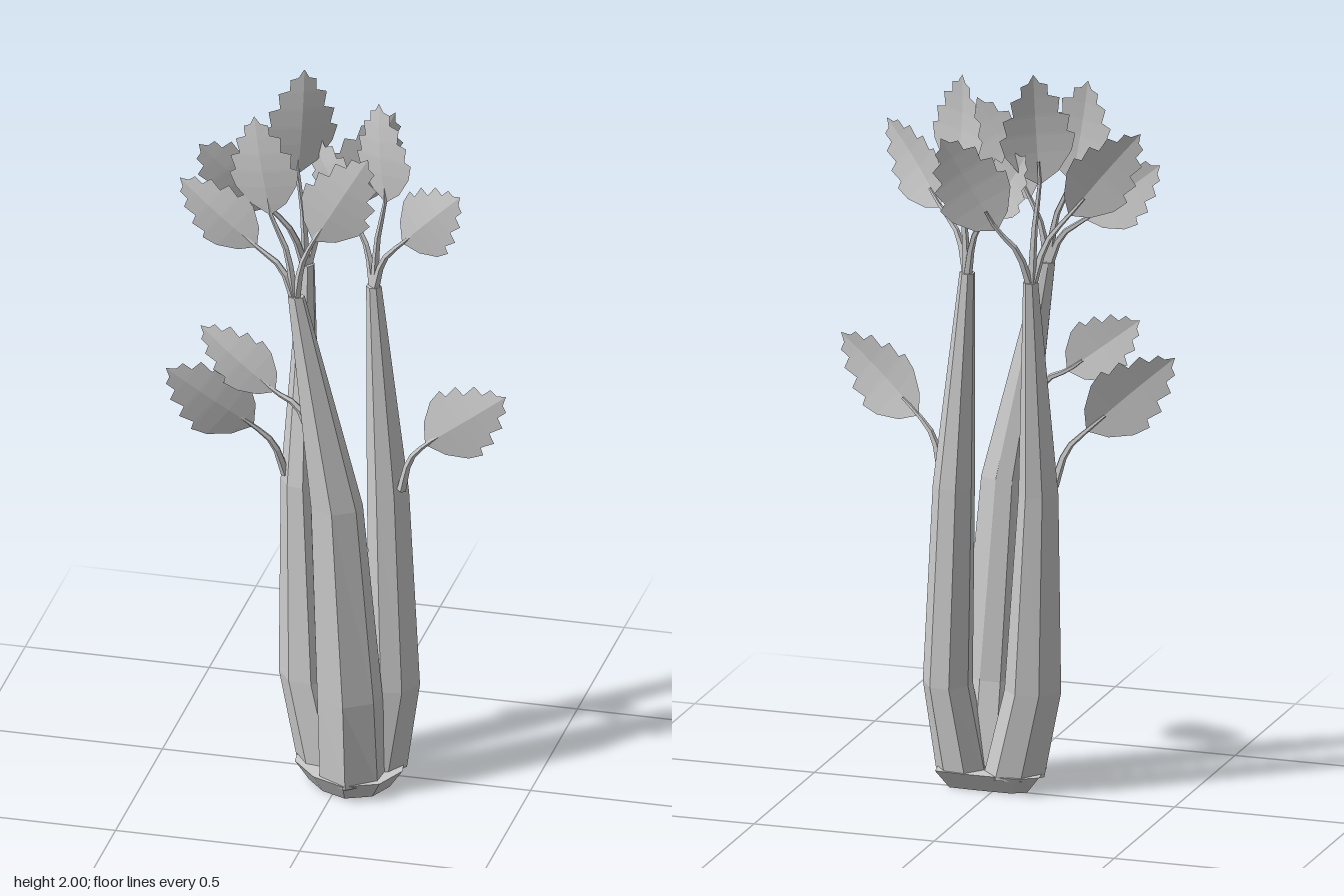
import * as THREE from 'three';

const material = new THREE.MeshStandardMaterial({ color: 0xcccccc, flatShading: true });
const leafMaterial = new THREE.MeshStandardMaterial({ color: 0xcccccc, flatShading: true, side: THREE.DoubleSide });

function meshFrom(name, positions, mat = material) {
  const geometry = new THREE.BufferGeometry();
  geometry.setAttribute('position', new THREE.Float32BufferAttribute(positions, 3));
  geometry.computeVertexNormals();
  const mesh = new THREE.Mesh(geometry, mat);
  mesh.name = name;
  return mesh;
}

// Closed loft through rings of Vector3, capped at both ends
function loft(name, rings) {
  const out = [];
  const tri = (...points) => points.forEach((p) => out.push(p.x, p.y, p.z));
  const n = rings[0].length;
  const centre = (ring) => ring.reduce((sum, p) => sum.add(p), new THREE.Vector3()).divideScalar(n);
  const last = rings[rings.length - 1];
  const low = centre(rings[0]), high = centre(last);
  for (let i = 0; i < n; i++) {
    const k = (i + 1) % n;
    for (let j = 0; j < rings.length - 1; j++) {
      const a = rings[j], b = rings[j + 1];
      tri(a[i], b[i], b[k]);
      tri(a[i], b[k], a[k]);
    }
    tri(low, rings[0][i], rings[0][k]);
    tri(high, last[k], last[i]);
  }
  return meshFrom(name, out);
}

// Stalk section: [outward, sideways] as fractions of depth and width
const SECTION = [[0.5, 0], [0.22, 0.43], [-0.2, 0.5], [-0.5, 0.16], [-0.5, -0.16], [-0.2, -0.5], [0.22, -0.43]];

// Levels: [y, centre x, centre z, depth, width]
function stalk(name, angle, levels) {
  const c = Math.cos(angle), s = Math.sin(angle);
  return loft(name, levels.map(([y, cx, cz, depth, width]) => SECTION.map(([u, t]) =>
    new THREE.Vector3(cx + u * depth * c - t * width * s, y, cz + u * depth * s + t * width * c))));
}

// Half outline of a toothed leaf: [along, half width] relative to its length
const LEAF = [[0, 0.02], [0.1, 0.17], [0.28, 0.3], [0.43, 0.34], [0.46, 0.27], [0.6, 0.3], [0.63, 0.2],
  [0.77, 0.22], [0.8, 0.12], [0.9, 0.12], [0.92, 0.05], [1, 0]];

function blade(base, tip, across) {
  const axis = tip.clone().sub(base);
  const length = axis.length();
  const normal = across.clone().cross(new THREE.Vector3(0, 1, 0)).normalize();
  const side = normal.clone().cross(axis).normalize();
  const out = [];
  const point = ([s, w], sign) => base.clone().addScaledVector(axis, s)
    .addScaledVector(side, sign * w * length)
    .addScaledVector(normal, (Math.sin(s * Math.PI) * 0.03 - Math.abs(sign) * w * 0.14) * length);
  for (const sign of [-1, 1]) {
    for (let i = 0; i < LEAF.length - 1; i++) {
      const m0 = point(LEAF[i], 0), m1 = point(LEAF[i + 1], 0);
      const e0 = point(LEAF[i], sign), e1 = point(LEAF[i + 1], sign);
      for (const p of sign > 0 ? [m0, m1, e1, m0, e1, e0] : [m0, e1, m1, m0, e0, e1]) out.push(p.x, p.y, p.z);
    }
  }
  return meshFrom('leafBlade', out, leafMaterial);
}

// Thin stem that narrows towards the leaf
function stem(start, base, tip) {
  const end = base.clone().lerp(tip, 0.2);
  const bend = start.clone().lerp(base, 0.55);
  bend.x += (start.x - base.x) * 0.18;
  bend.y += 0.015;
  const curve = new THREE.CatmullRomCurve3([start, bend, base, end]);
  const geometry = new THREE.TubeGeometry(curve, 6, 0.013, 5).toNonIndexed();
  const p = geometry.attributes.position, uv = geometry.attributes.uv;
  const v = new THREE.Vector3();
  for (let i = 0; i < p.count; i++) {
    const t = uv.getX(i);
    v.fromBufferAttribute(p, i).lerp(curve.getPointAt(t), t * 0.7);
    p.setXYZ(i, v.x, v.y, v.z);
  }
  geometry.computeVertexNormals();
  const mesh = new THREE.Mesh(geometry, material);
  mesh.name = 'leafStem';
  return mesh;
}

// Sprays of leaves, each in one upright plane: root point, plane slope dz/dx,
// then leaves as [base x, base y, tip x, tip y]
const SPRAYS = [
  { name: 'leftTopLeaves', root: [-0.13, 1.41, -0.085], slope: -0.58,
    leaves: [[-0.15, 1.7, -0.135, 2.0], [-0.22, 1.61, -0.385, 1.82], [-0.05, 1.58, 0.08, 1.84]] },
  { name: 'frontTopLeaves', root: [-0.11, 1.41, 0.11], slope: 0.06,
    leaves: [[-0.18, 1.66, -0.225, 1.94], [-0.22, 1.56, -0.43, 1.73], [-0.06, 1.6, 0.09, 1.86]] },
  { name: 'rightTopLeaves', root: [0.07, 1.4, -0.02], slope: 0.53,
    leaves: [[0.105, 1.68, 0.085, 1.96], [0.16, 1.58, 0.34, 1.78], [0.0, 1.6, -0.13, 1.79]] },
  { name: 'leftLowLeaf', root: [-0.165, 0.85, 0], slope: -0.48, leaves: [[-0.245, 1.0, -0.455, 1.19]] },
  { name: 'frontLowLeaf', root: [-0.07, 1.03, 0.11], slope: 0.08, leaves: [[-0.17, 1.14, -0.375, 1.3]] },
  { name: 'rightLowLeaf', root: [0.155, 0.85, 0.02], slope: 0.22, leaves: [[0.225, 1.0, 0.455, 1.19]] },
];

function spray({ name, root, slope, leaves }) {
  const group = new THREE.Group();
  group.name = name;
  const at = (x, y) => new THREE.Vector3(x, y, root[2] + (x - root[0]) * slope);
  for (const [bx, by, tx, ty] of leaves) {
    const base = at(bx, by), tip = at(tx, ty);
    group.add(stem(at(root[0], root[1]), base, tip), blade(base, tip, new THREE.Vector3(1, 0, slope)));
  }
  return group;
}

export function createModel() {
  const model = new THREE.Group();
  model.name = 'celery';

  // Chamfered foot joining the stalks
  const foot = [[0.17, 0.07], [0.13, 0.16], [0.04, 0.2], [-0.05, 0.16], [-0.12, 0.08], [-0.13, -0.02],
    [-0.08, -0.05], [0.05, -0.05], [0.15, -0.045]];
  model.add(loft('foot', [[0, 0.75], [0.05, 1]].map(([y, k]) => foot.map(([x, z]) =>
    new THREE.Vector3(0.03 + (x - 0.03) * k, y, 0.07 + (z - 0.07) * k)))));

  // Three tapering stalks
  model.add(
    stalk('leftStalk', Math.PI, [
      [0.04, -0.05, 0.025, 0.16, 0.15], [0.28, -0.105, 0.015, 0.15, 0.14],
      [0.83, -0.13, -0.015, 0.105, 0.11], [1.43, -0.13, -0.085, 0.04, 0.04]]),
    stalk('frontStalk', 1.5, [
      [0.04, 0.04, 0.105, 0.19, 0.18], [0.28, 0.035, 0.125, 0.15, 0.175],
      [0.83, 0.0, 0.12, 0.11, 0.14], [1.43, -0.11, 0.11, 0.035, 0.045]]),
    stalk('rightStalk', -0.05, [
      [0.04, 0.1, 0.025, 0.14, 0.14], [0.28, 0.137, 0.012, 0.13, 0.145],
      [0.83, 0.112, -0.01, 0.11, 0.11], [1.42, 0.07, -0.02, 0.04, 0.04]]));

  SPRAYS.forEach((s) => model.add(spray(s)));
  return model;
}
